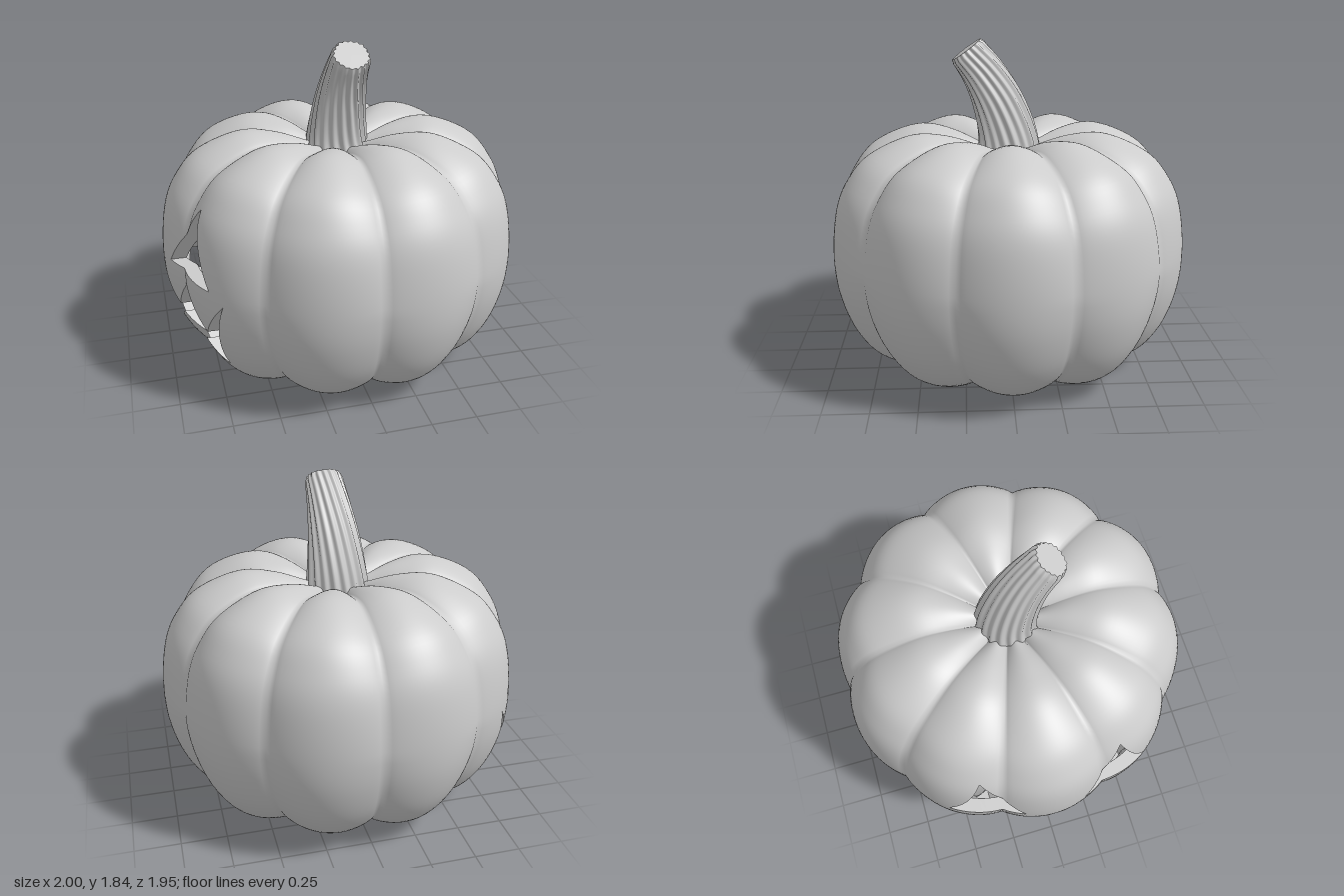
import * as THREE from 'three';
import { mergeVertices } from 'three/addons/utils/BufferGeometryUtils.js';

const CY = 0.67;      // height of the body's middle
const WALL = 0.92;    // inner shell scale
const V2 = (x, y) => new THREE.Vector2(x, y);

// Rib profile (radius, height), bottom to top, as a table of angle and distance from the middle
const profile = new THREE.SplineCurve([
  [0, 0.13], [0.2, 0.07], [0.5, 0], [0.76, 0.09], [0.9, 0.25], [0.98, 0.47], [1, 0.7],
  [0.97, 0.95], [0.9, 1.11], [0.78, 1.24], [0.55, 1.335], [0.35, 1.32], [0.15, 1.25], [0, 1.2],
].map(([r, y]) => V2(r, y))).getPoints(260).map(p => ({
  a: Math.atan2(p.y - CY, Math.max(p.x, 0)), d: Math.hypot(p.x, p.y - CY),
}));

// Distance from the middle to the skin in a given direction
function skin(x, y, z) {
  const flat = Math.hypot(x, z), a = Math.atan2(y, flat);
  let lo = 0, hi = profile.length - 1;
  while (hi - lo > 1) {
    const m = (lo + hi) >> 1;
    if (profile[m].a <= a) lo = m; else hi = m;
  }
  const p = profile[lo], q = profile[hi];
  const d = p.d + (q.d - p.d) * THREE.MathUtils.clamp((a - p.a) / (q.a - p.a || 1), 0, 1);
  const rib = Math.pow(Math.abs(Math.cos(5 * Math.atan2(z, x))), 0.8);
  const depth = (0.045 + 0.045 * Math.abs(Math.sin(a))) * Math.min(1, Math.cos(a) * d / 0.15);
  return d * (1 - depth * (1 - rib));
}

// x of the skin on the carved (-x) side at a given height and z
function skinX(y, z, scale) {
  let lo = -1.1, hi = 0;
  for (let i = 0; i < 40; i++) {
    const x = (lo + hi) / 2;
    if (Math.hypot(x, y - CY, z) > scale * skin(x, y - CY, z)) lo = x; else hi = x;
  }
  return hi;
}

// Carved openings as outlines in (z, y)
const eye = s => [[0.175, 0.71], [0.58, 0.71], [0.388, 1.08]].map(([z, y]) => V2(s * z, y));
const upper = [[0.31, 0.63], [0.5, 0.43], [0.65, 0.65]];
const lower = [[0.52, 0.225], [0.41, 0.335], [0.335, 0.22], [0.175, 0.38]];
const half = [[0.17, 0.43], ...upper, ...lower];
const mouth = [V2(0, 0.61), ...half.map(p => V2(...p)), V2(0, 0.24),
  ...half.slice().reverse().map(([z, y]) => V2(-z, y))];
const openings = { leftEye: eye(1), rightEye: eye(-1), mouth };

// Openings split into counter-clockwise triangles for cutting
const cutters = Object.values(openings).flatMap(o =>
  THREE.ShapeUtils.triangulateShape(o, []).map(f => {
    const t = f.map(i => o[i]);
    return THREE.ShapeUtils.area(t) < 0 ? t.reverse() : t;
  }));

const side = (p, a, b) => (b.x - a.x) * (p[1] - a.y) - (b.y - a.y) * (p[2] - a.x);

// Part of a polygon on one side of the line a-b
function clip(poly, a, b, sign) {
  const out = [];
  poly.forEach((p, i) => {
    const q = poly[(i + 1) % poly.length];
    const s = sign * side(p, a, b), t = sign * side(q, a, b);
    if (s >= 0) out.push(p);
    if (s * t < 0) out.push(p.map((v, k) => v + (q[k] - v) * s / (s - t)));
  });
  return out;
}

// Polygon minus one convex cutter
function subtract(poly, tri) {
  const kept = [];
  let rest = poly;
  for (let i = 0; i < 3; i++) {
    const a = tri[i], b = tri[(i + 1) % 3];
    const outside = clip(rest, a, b, -1);
    if (outside.length > 2) kept.push(outside);
    rest = clip(rest, a, b, 1);
    if (rest.length < 3) return [poly];
  }
  return kept;
}

// Ribbed shell with the face cut out
function shell(scale, columns, rows) {
  let g = new THREE.SphereGeometry(1, columns, rows);
  g.deleteAttribute('uv');
  g.deleteAttribute('normal');
  g = mergeVertices(g, 1e-5);
  const P = g.attributes.position;
  for (let i = 0; i < P.count; i++) {
    const [x, y, z] = [P.getX(i), P.getY(i), P.getZ(i)];
    const d = scale * skin(x, y, z);
    P.setXYZ(i, x * d, CY + y * d, z * d);
  }
  g.computeVertexNormals();
  const N = g.attributes.normal, idx = g.index.array;
  const vert = i => [P.getX(i), P.getY(i), P.getZ(i), N.getX(i), N.getY(i), N.getZ(i)];
  const pos = [], nor = [];
  for (let i = 0; i < idx.length; i += 3) {
    const tri = [vert(idx[i]), vert(idx[i + 1]), vert(idx[i + 2])];
    let polys = [tri];
    const [x, y, z] = tri[0];
    if (x < -0.3 && y > 0.1 && y < 1.2 && Math.abs(z) < 0.8) {
      for (const c of cutters) polys = polys.flatMap(p => subtract(p, c));
    }
    for (const p of polys) {
      for (let k = 1; k < p.length - 1; k++) {
        for (const v of [p[0], p[k], p[k + 1]]) {
          pos.push(v[0], v[1], v[2]);
          nor.push(v[3], v[4], v[5]);
        }
      }
    }
  }
  const out = new THREE.BufferGeometry();
  out.setAttribute('position', new THREE.Float32BufferAttribute(pos, 3));
  out.setAttribute('normal', new THREE.Float32BufferAttribute(nor, 3));
  return out;
}

// Cut flesh joining outer and inner shells around an opening
function cutWall(outline) {
  const pos = [], steps = 14;
  outline.forEach((a, i) => {
    const b = outline[(i + 1) % outline.length];
    for (let s = 0; s < steps; s++) {
      const [p, q] = [s, s + 1].map(k => a.clone().lerp(b, k / steps));
      const at = (v, scale) => [skinX(v.y, v.x, scale), v.y, v.x];
      const [A, B, C, D] = [at(p, 1), at(q, 1), at(q, WALL), at(p, WALL)];
      pos.push(...A, ...B, ...C, ...A, ...C, ...D);
    }
  });
  const g = new THREE.BufferGeometry();
  g.setAttribute('position', new THREE.Float32BufferAttribute(pos, 3));
  g.computeVertexNormals();
  return g;
}

// Fluted, twisted stem leaning to the front
function stemGeometry() {
  let g = new THREE.CylinderGeometry(1, 1, 1, 144, 28);
  g.deleteAttribute('uv');
  g = mergeVertices(g, 1e-5);
  const path = new THREE.CatmullRomCurve3([
    [0, 1.1, -0.01], [0, 1.3, 0], [0.005, 1.5, 0.055], [0.012, 1.65, 0.13], [0.02, 1.78, 0.225],
  ].map(p => new THREE.Vector3(...p)));
  const P = g.attributes.position, X = new THREE.Vector3(1, 0, 0);
  for (let i = 0; i < P.count; i++) {
    const t = P.getY(i) + 0.5, flat = Math.hypot(P.getX(i), P.getZ(i));
    const a = Math.atan2(P.getZ(i), P.getX(i));
    const flute = 1 + 0.05 * Math.cos(18 * a) + 0.02 * Math.cos(5 * a + 1);
    const lip = t > 0.97 ? 0.92 : 1;
    const r = flat * flute * lip * (0.1 + 0.085 * Math.pow(1 - t, 1.3));
    const tan = path.getTangent(t), Z = X.clone().cross(tan).normalize();
    const p = path.getPoint(t).addScaledVector(X, r * Math.cos(a + 0.7 * t))
      .addScaledVector(Z, r * Math.sin(a + 0.7 * t));
    P.setXYZ(i, p.x, p.y, p.z);
  }
  g.computeVertexNormals();
  return g;
}

export function createModel() {
  const model = new THREE.Group();
  model.name = 'carvedPumpkin';
  const solid = new THREE.MeshStandardMaterial({ color: 0xcccccc });
  const thin = new THREE.MeshStandardMaterial({ color: 0xcccccc, side: THREE.DoubleSide });
  const add = (name, geometry, material) => {
    const mesh = new THREE.Mesh(geometry, material);
    mesh.name = name;
    model.add(mesh);
  };
  add('ribbedSkin', shell(1, 200, 90), solid);
  add('hollowInside', shell(WALL, 120, 60), thin);
  for (const [name, outline] of Object.entries(openings)) add(name + 'Cut', cutWall(outline), thin);
  add('stem', stemGeometry(), solid);
  return model;
}
